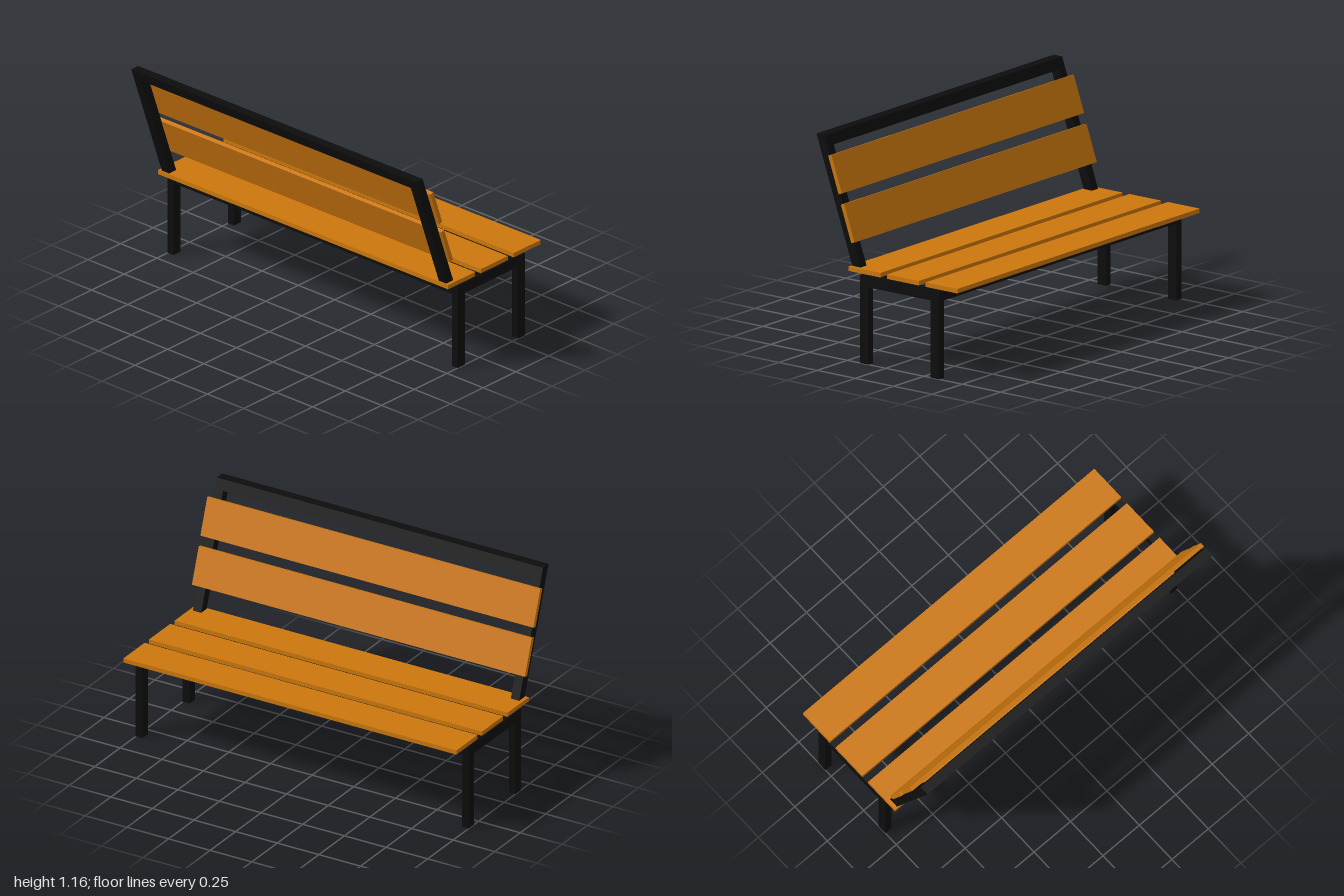
import * as THREE from 'three';

export function createModel() {
  const bench = new THREE.Group();
  bench.name = 'bench';
  const wood = new THREE.MeshStandardMaterial({ color: 0xcc770d });
  const metal = new THREE.MeshStandardMaterial({ color: 0x0d0d0d });

  const add = (name, geometry, material, x = 0, y = 0, z = 0) => {
    const mesh = new THREE.Mesh(geometry, material);
    mesh.name = name;
    mesh.position.set(x, y, z);
    bench.add(mesh);
    return mesh;
  };
  const box = (name, material, w, h, d, x, y, z) =>
    add(name, new THREE.BoxGeometry(w, h, d), material, x, y, z);

  // Base frame: four legs, two long rails and two side rails
  const legW = 0.04, legD = 0.054, railBottom = 0.41, railTop = 0.468;
  const railY = (railBottom + railTop) / 2, railH = railTop - railBottom;
  const backZ = 0.14, frontZ = -0.321;
  for (const [end, z] of [['back', backZ], ['front', frontZ]]) {
    box(end + 'Rail', metal, 2, railH, legD, 0, railY, z);
    for (const [side, s] of [['Left', 1], ['Right', -1]])
      box(end + side + 'Leg', metal, legW, railBottom, legD, s * (1 - legW / 2), railBottom / 2, z);
  }
  for (const [side, s] of [['left', 1], ['right', -1]])
    box(side + 'SideRail', metal, legW, railH, backZ - frontZ - legD,
      s * (1 - legW / 2), railY, (backZ + frontZ) / 2);

  // Seat boards
  for (const z of [0.138, -0.113, -0.364])
    box('seatBoard', wood, 2, 0.024, 0.207, 0, 0.488, z);

  // Backrest frame: an upside-down U, sheared so its ends stay level
  const bottom = 0.5, top = 1.163, outer = 0.98, inner = 0.93, lean = 0.353;
  const outline = [
    [-outer, bottom], [-inner, bottom], [-inner, top - 0.056], [inner, top - 0.056],
    [inner, bottom], [outer, bottom], [outer, top], [-outer, top],
  ].map(([x, y]) => new THREE.Vector2(x, y));
  const frame = new THREE.ExtrudeGeometry(new THREE.Shape(outline), { depth: 0.054, bevelEnabled: false });
  const p = frame.attributes.position;
  for (let i = 0; i < p.count; i++) p.setZ(i, p.getZ(i) + 0.18 + (p.getY(i) - bottom) * lean);
  frame.computeVertexNormals();
  add('backrestFrame', frame, metal);

  // Backrest boards, tilted with the frame
  for (const [y, z] of [[0.726, 0.248], [0.972, 0.331]])
    box('backrestBoard', wood, 2, 0.205, 0.023, 0, y, z).rotation.x = Math.atan(lean);

  return bench;
}
